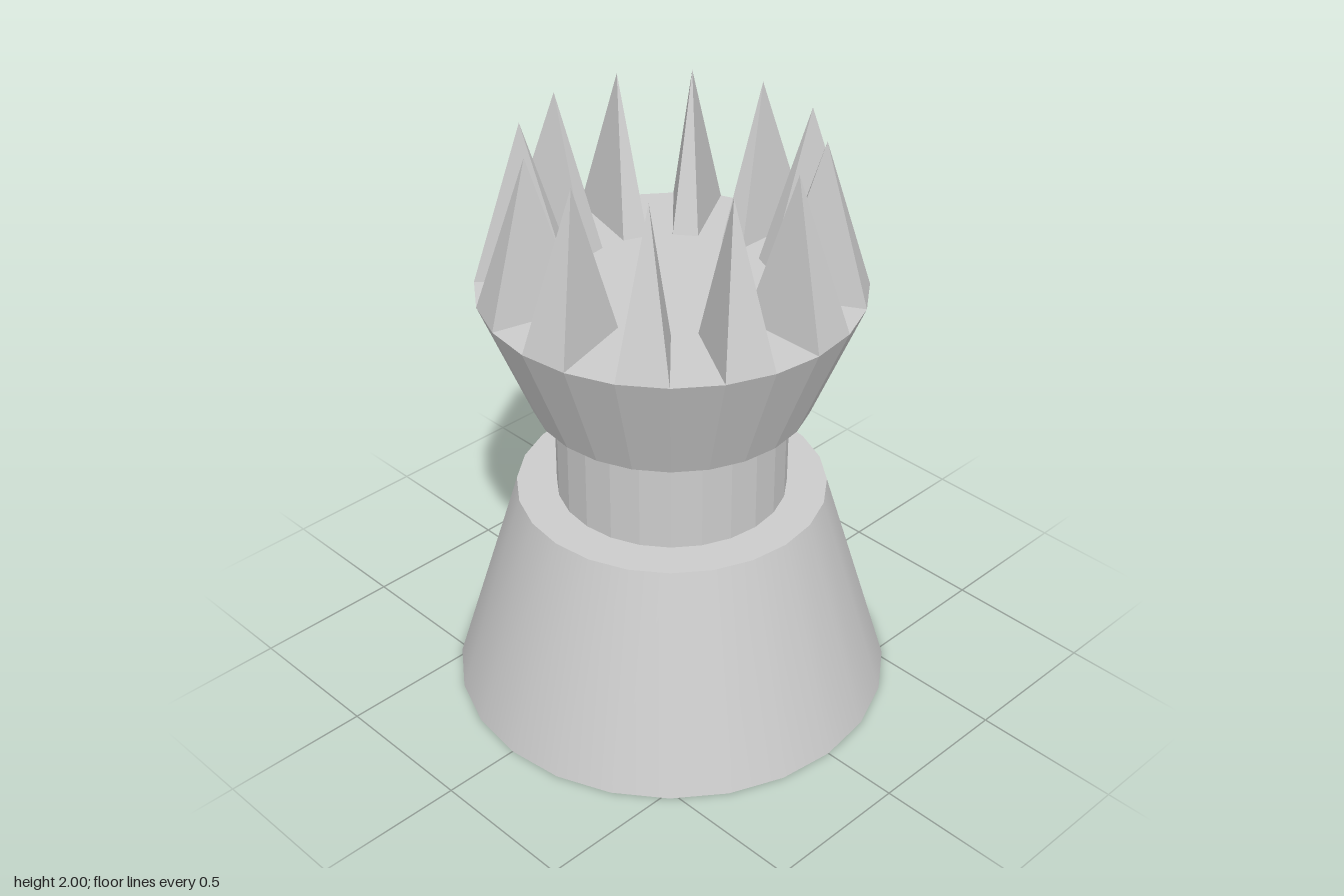
import * as THREE from 'three';
import { ConvexGeometry } from 'three/addons/geometries/ConvexGeometry.js';

const SIDES = 24;
const smooth = new THREE.MeshStandardMaterial({ color: 0xcccccc });
const faceted = new THREE.MeshStandardMaterial({ color: 0xcccccc, flatShading: true });

// Upright 24-sided frustum between two heights
function frustum(name, rBottom, rTop, y0, y1, material) {
  const geometry = new THREE.CylinderGeometry(rTop, rBottom, y1 - y0, SIDES);
  geometry.translate(0, (y0 + y1) / 2, 0);
  const mesh = new THREE.Mesh(geometry, material);
  mesh.name = name;
  return mesh;
}

// Point on a circle, angle measured counter-clockwise seen from above
const polar = (r, angle, y) =>
  new THREE.Vector3(r * Math.cos(angle), y, -r * Math.sin(angle));

export function createModel() {
  const model = new THREE.Group();
  model.name = 'crownedPiece';

  // Flared foot, neck and widening head
  model.add(frustum('base', 0.738, 0.515, 0, 0.74, smooth));
  model.add(frustum('neck', 0.382, 0.382, 0.74, 1.08, faceted));
  model.add(frustum('head', 0.455, 0.618, 1.08, 1.485, faceted));

  // Crown: a pyramid spike on every second sector of the rim
  const crown = new THREE.Group();
  crown.name = 'crown';
  const step = (Math.PI * 2) / SIDES;
  const rimY = 1.485;
  const spikeGeometry = new ConvexGeometry([
    polar(0.618, 0, rimY),
    polar(0.618, step, rimY),
    polar(0.318, step, rimY),
    polar(0.318, 0, rimY),
    polar(0.465, step / 2, 2),
  ]);
  for (let i = 0; i < SIDES / 2; i++) {
    const spike = new THREE.Mesh(spikeGeometry, faceted);
    spike.name = `spike${i + 1}`;
    spike.rotation.y = i * 2 * step;
    crown.add(spike);
  }
  model.add(crown);

  return model;
}
